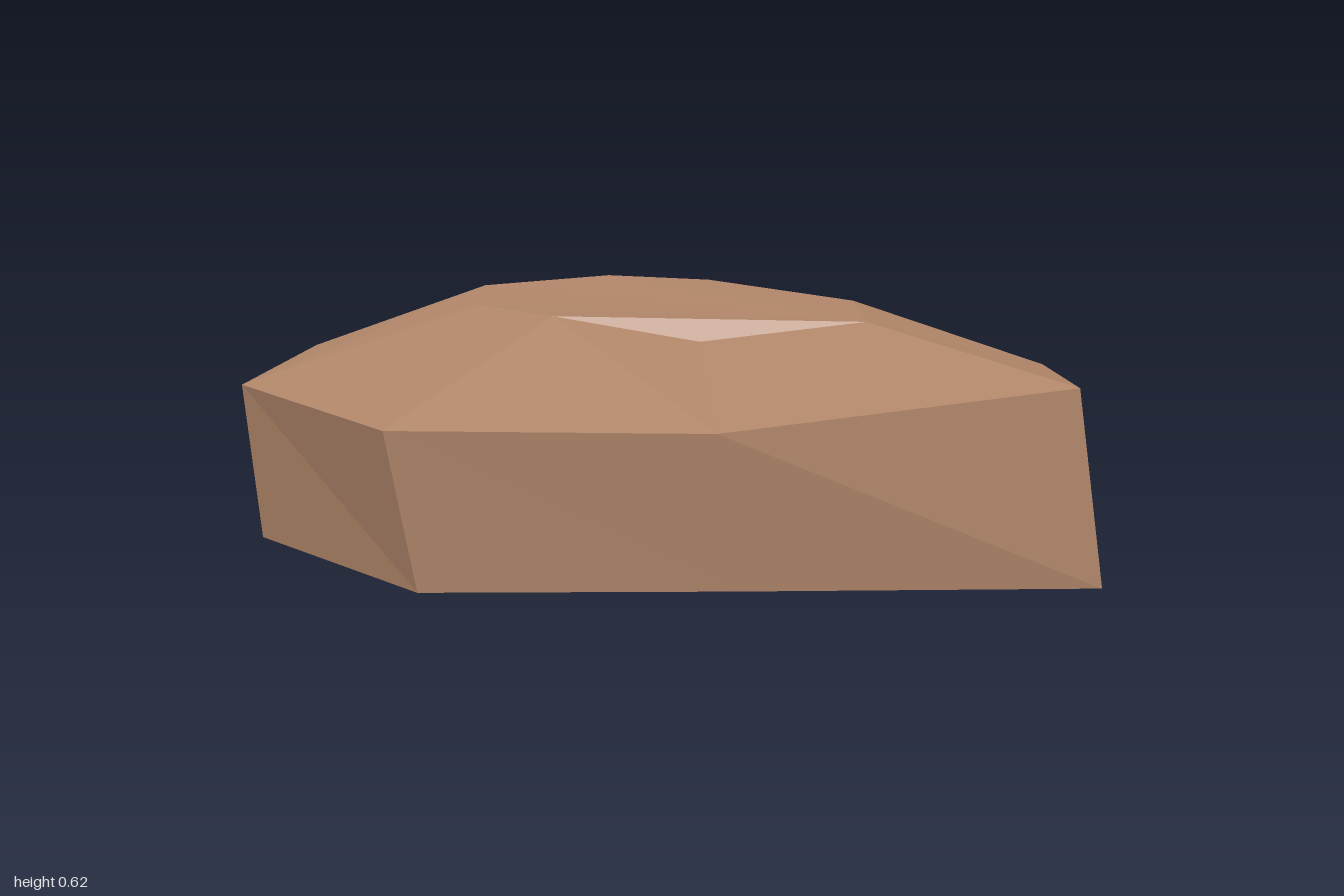
import * as THREE from 'three';

// Eight-corner outlines, running from the back round by +x
const base = [
  [-0.14, 0.015, -0.86], [0.455, 0.015, -0.745], [0.96, 0.015, 0.225], [0.83, 0.015, 0.935],
  [0.05, 0.005, 0.76], [-0.63, 0, 0.61], [-0.96, 0.005, -0.03], [-0.83, 0.01, -0.7],
];
const rim = [
  [-0.15, 0.435, -0.94], [0.455, 0.44, -0.75], [1, 0.42, 0.21], [0.77, 0.455, 0.92],
  [0, 0.36, 0.79], [-0.7, 0.365, 0.635], [-1, 0.39, -0.025], [-0.8, 0.42, -0.64],
];
const crown = [
  [0, 0.617, -0.455], [0.27, 0.605, -0.39], [0.535, 0.58, 0.08], [0.45, 0.56, 0.44],
  [0.06, 0.515, 0.38], [-0.275, 0.573, 0.285], [-0.415, 0.577, -0.03], [-0.355, 0.6, -0.375],
];

// Faceted band of triangles between two outlines
function band(lower, upper) {
  const tris = [];
  lower.forEach((p, i) => {
    const j = (i + 1) % lower.length;
    tris.push(lower[j], p, upper[j], p, upper[i], upper[j]);
  });
  return tris;
}

// Fan closing an outline from the corner at index start
function cap(ring, start, faceUp) {
  const tris = [];
  const n = ring.length;
  for (let k = 1; k < n - 1; k++) {
    const b = ring[(start + k) % n], c = ring[(start + k + 1) % n];
    tris.push(ring[start], ...(faceUp ? [c, b] : [b, c]));
  }
  return tris;
}

function facetMesh(name, tris, material) {
  const geometry = new THREE.BufferGeometry();
  geometry.setAttribute('position', new THREE.Float32BufferAttribute(tris.flat(), 3));
  geometry.computeVertexNormals();
  const mesh = new THREE.Mesh(geometry, material);
  mesh.name = name;
  return mesh;
}

export function createModel() {
  const stone = new THREE.MeshStandardMaterial({ color: 0xb08569 });
  stone.name = 'brown stone';

  const rock = new THREE.Group();
  rock.name = 'rock';
  rock.add(
    facetMesh('underside', cap(base, 3, false), stone),
    facetMesh('sides', band(base, rim), stone),
    facetMesh('slopedShoulder', band(rim, crown), stone),
    // The fan starts at a front corner so the dip at the front edge stays a narrow facet
    facetMesh('flatTop', [
      ...cap(crown.filter((_, i) => i !== 4), 3, true),
      crown[3], crown[5], crown[4],
    ], stone),
  );
  return rock;
}
